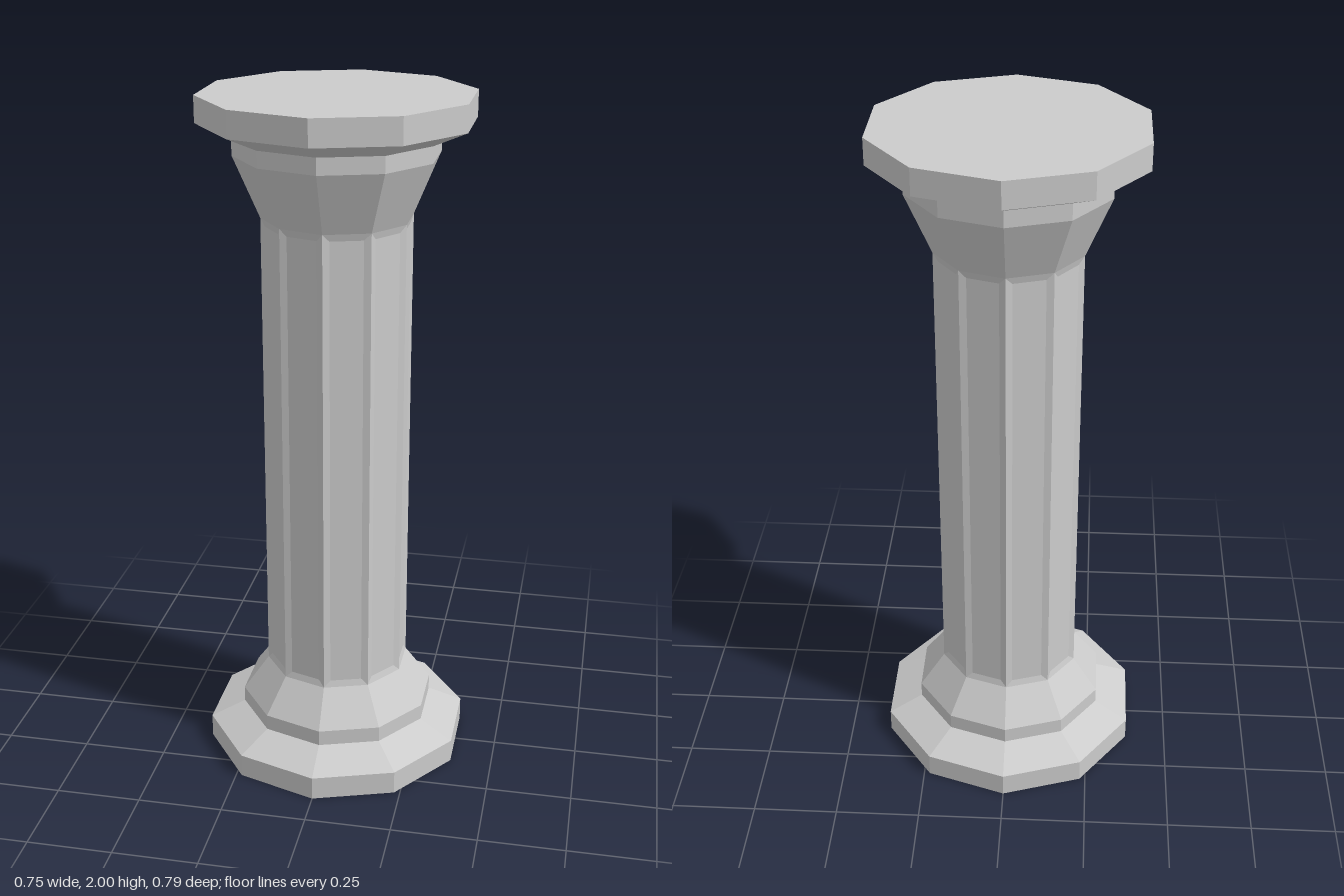
import * as THREE from 'three';

const SIDES = 10;
const SHAFT_R = 0.215, SHAFT_BOTTOM = 0.27, SHAFT_TOP = 1.66;

const material = new THREE.MeshStandardMaterial({ color: 0xcccccc, flatShading: true });

function addMesh(group, name, geometry) {
  const mesh = new THREE.Mesh(geometry, material);
  mesh.name = name;
  group.add(mesh);
}

// Ten-sided turned part from [radius, height] pairs, bottom to top
function turned(profile) {
  return new THREE.LatheGeometry(profile.map(([r, y]) => new THREE.Vector2(r, y)), SIDES);
}

// Ten-sided shaft, each side carrying a shallow sunken panel with sloped borders
function shaftGeometry() {
  const margin = 0.02, depth = 0.005;
  const half = SHAFT_R * Math.sin(Math.PI / SIDES);
  const apothem = SHAFT_R * Math.cos(Math.PI / SIDES);
  const positions = [];
  const rectangle = (w, y0, y1, z) => [[-w, y0, z], [w, y0, z], [w, y1, z], [-w, y1, z]];
  const outer = rectangle(half, SHAFT_BOTTOM, SHAFT_TOP, apothem);
  const inner = rectangle(half - margin, SHAFT_BOTTOM + margin, SHAFT_TOP - margin, apothem - depth);

  for (let side = 0; side < SIDES; side++) {
    const angle = ((side + 0.5) / SIDES) * Math.PI * 2;
    const turn = ([x, y, z]) => [
      x * Math.cos(angle) + z * Math.sin(angle), y,
      z * Math.cos(angle) - x * Math.sin(angle),
    ];
    const quad = (a, b, c, d) => [a, b, c, a, c, d].forEach((p) => positions.push(...turn(p)));
    quad(...inner);
    for (let i = 0; i < 4; i++) {
      const j = (i + 1) % 4;
      quad(outer[i], outer[j], inner[j], inner[i]);
    }
  }
  const geometry = new THREE.BufferGeometry();
  geometry.setAttribute('position', new THREE.Float32BufferAttribute(positions, 3));
  geometry.computeVertexNormals();
  return geometry;
}

export function createModel() {
  const column = new THREE.Group();
  column.name = 'column';

  // Stepped foot: plinth, sloped shoulder, collar, taper to the shaft
  addMesh(column, 'base', turned([
    [0, 0], [0.396, 0], [0.396, 0.07], [0.292, 0.118],
    [0.292, 0.165], [SHAFT_R, SHAFT_BOTTOM],
  ]));

  addMesh(column, 'shaft', shaftGeometry());

  // Flared head: taper, collar, sloped underside, top slab
  addMesh(column, 'capital', turned([
    [SHAFT_R, SHAFT_TOP], [0.29, 1.835], [0.29, 1.882],
    [0.388, 1.925], [0.388, 2], [0, 2],
  ]));

  return column;
}
